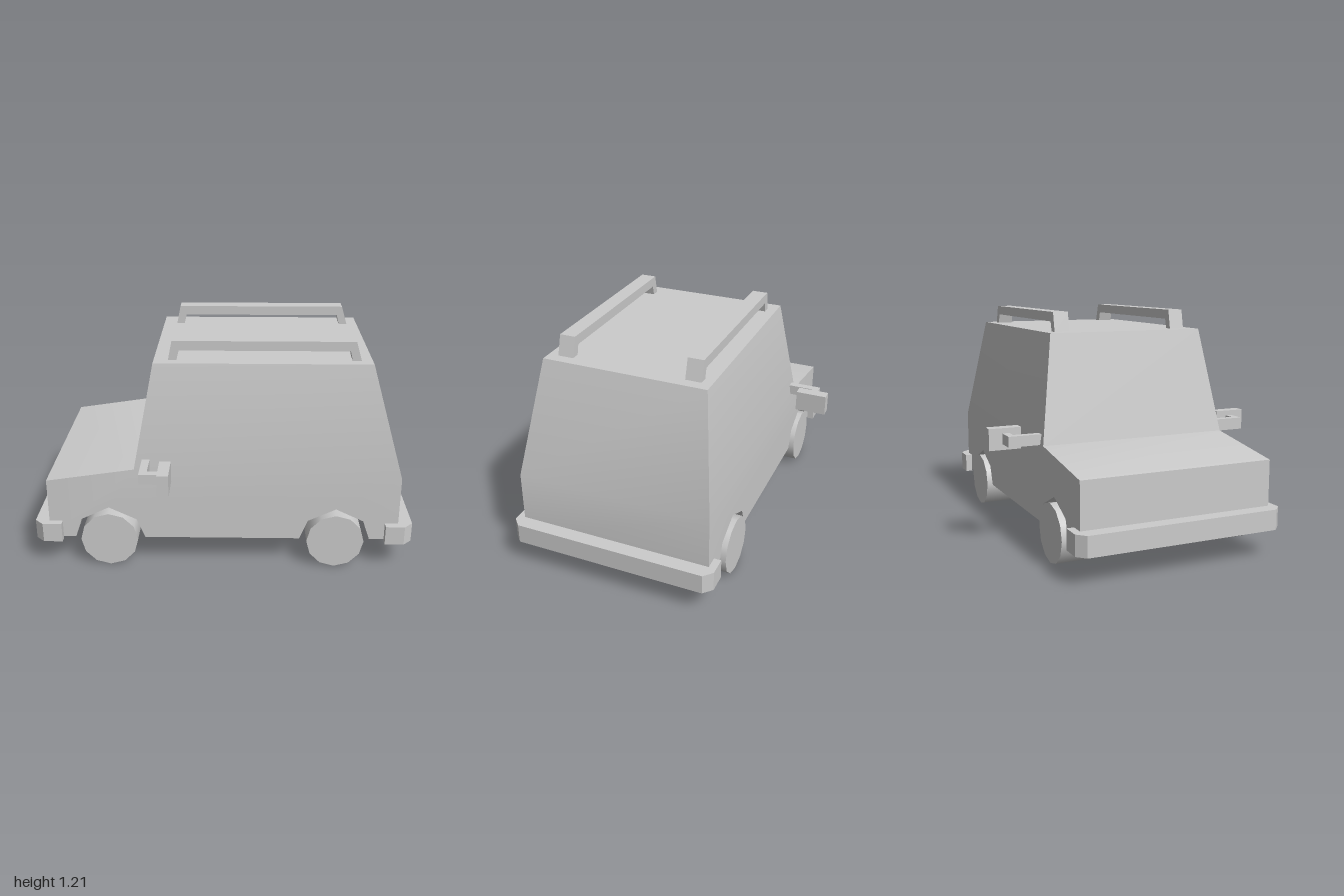
import * as THREE from 'three';
import { mergeGeometries, toCreasedNormals } from 'three/addons/utils/BufferGeometryUtils.js';

const grey = new THREE.MeshStandardMaterial({ color: 0xcccccc });

function addMesh(parent, name, geometry) {
  const mesh = new THREE.Mesh(geometry, grey);
  mesh.name = name;
  parent.add(mesh);
  return mesh;
}

// Outline in x/y, extruded from z0 to z1
function extrude(points, z0, z1) {
  const shape = new THREE.Shape(points.map(([x, y]) => new THREE.Vector2(x, y)));
  return new THREE.ExtrudeGeometry(shape, { depth: z1 - z0, bevelEnabled: false }).translate(0, 0, z0);
}

// Outline in x/z, standing between y0 and y1
function extrudePlan(points, y0, y1) {
  return extrude(points, 0, y1 - y0).rotateX(Math.PI / 2).translate(0, y1, 0);
}

// Box given by its limits
function box(x0, x1, y0, y1, z0, z1) {
  return new THREE.BoxGeometry(x1 - x0, y1 - y0, z1 - z0)
    .translate((x0 + x1) / 2, (y0 + y1) / 2, (z0 + z1) / 2);
}

const HALF = 0.515, ROOF_HALF = 0.43, ROOF_Y = 1.107;
const AXLES = { front: -0.606, rear: 0.594 };

function bodyGeometry() {
  // Lower body with the wheel arches cut right through
  const arch = (cx) => [[-0.183, 0.155], [-0.146, 0.262], [0, 0.332], [0.146, 0.262], [0.188, 0.155]]
    .map(([x, y]) => [cx + x, y]);
  const rearArch = arch(-AXLES.rear).map(([x, y]) => [-x, y]).reverse();
  const lower = extrude([
    [-0.925, 0.155], ...arch(AXLES.front), ...rearArch, [0.925, 0.155],
    [0.925, 0.511], [-0.463, 0.556], [-0.925, 0.487],
  ], -HALF, HALF);

  // Cabin, narrowing towards the roof
  const cabin = extrude([
    [-0.463, 0.556], [0.925, 0.511], [0.754, ROOF_Y], [-0.356, ROOF_Y],
  ], -HALF, HALF);
  const p = cabin.attributes.position;
  for (let i = 0; i < p.count; i++) {
    if (p.getY(i) > 1) p.setZ(i, Math.sign(p.getZ(i)) * ROOF_HALF);
  }
  return toCreasedNormals(mergeGeometries([lower, cabin]), 0.9);
}

export function createModel() {
  const car = new THREE.Group();
  car.name = 'car';
  addMesh(car, 'body', bodyGeometry());

  // Bumpers wrapping around the corners
  const bumperPlan = [
    [0.92, -HALF], [0.855, -HALF], [0.855, -0.553], [0.955, -0.553], [1, -0.51],
    [1, 0.51], [0.955, 0.553], [0.855, 0.553], [0.855, HALF], [0.92, HALF],
  ];
  addMesh(car, 'rearBumper', extrudePlan(bumperPlan, 0.145, 0.25));
  addMesh(car, 'frontBumper', extrudePlan(bumperPlan.map(([x, z]) => [-x, z]), 0.145, 0.25));

  const rail = [
    [-0.283, 1.105], [-0.24, 1.105], [-0.227, 1.158], [0.639, 1.158], [0.653, 1.105],
    [0.698, 1.105], [0.667, 1.208], [-0.262, 1.208],
  ];

  for (const [side, s] of [['left', -1], ['right', 1]]) {
    const span = (a, b) => (s > 0 ? [a, b] : [-b, -a]);

    // Wheels
    for (const [end, x] of Object.entries(AXLES)) {
      const wheel = new THREE.CylinderGeometry(0.152, 0.152, 0.172, 12).rotateX(Math.PI / 2);
      addMesh(car, `${end}Wheel_${side}`, wheel).position.set(x, 0.152, s * 0.451);
    }

    // Roof rail
    addMesh(car, `roofRail_${side}`, extrude(rail, ...span(0.296, 0.378)));

    // Side mirror on an L-shaped arm
    const mirror = new THREE.Group();
    mirror.name = `sideMirror_${side}`;
    const arm = [[-0.42, 0.49], [-0.38, 0.49], [-0.38, 0.643], [-0.32, 0.643], [-0.32, 0.68], [-0.42, 0.68]];
    addMesh(mirror, 'mirrorArm', extrudePlan(arm.map(([x, z]) => [x, s * z]), 0.554, 0.609));
    addMesh(mirror, 'mirrorHead', box(-0.322, -0.264, 0.524, 0.636, ...span(0.582, 0.751)));
    car.add(mirror);
  }
  return car;
}
